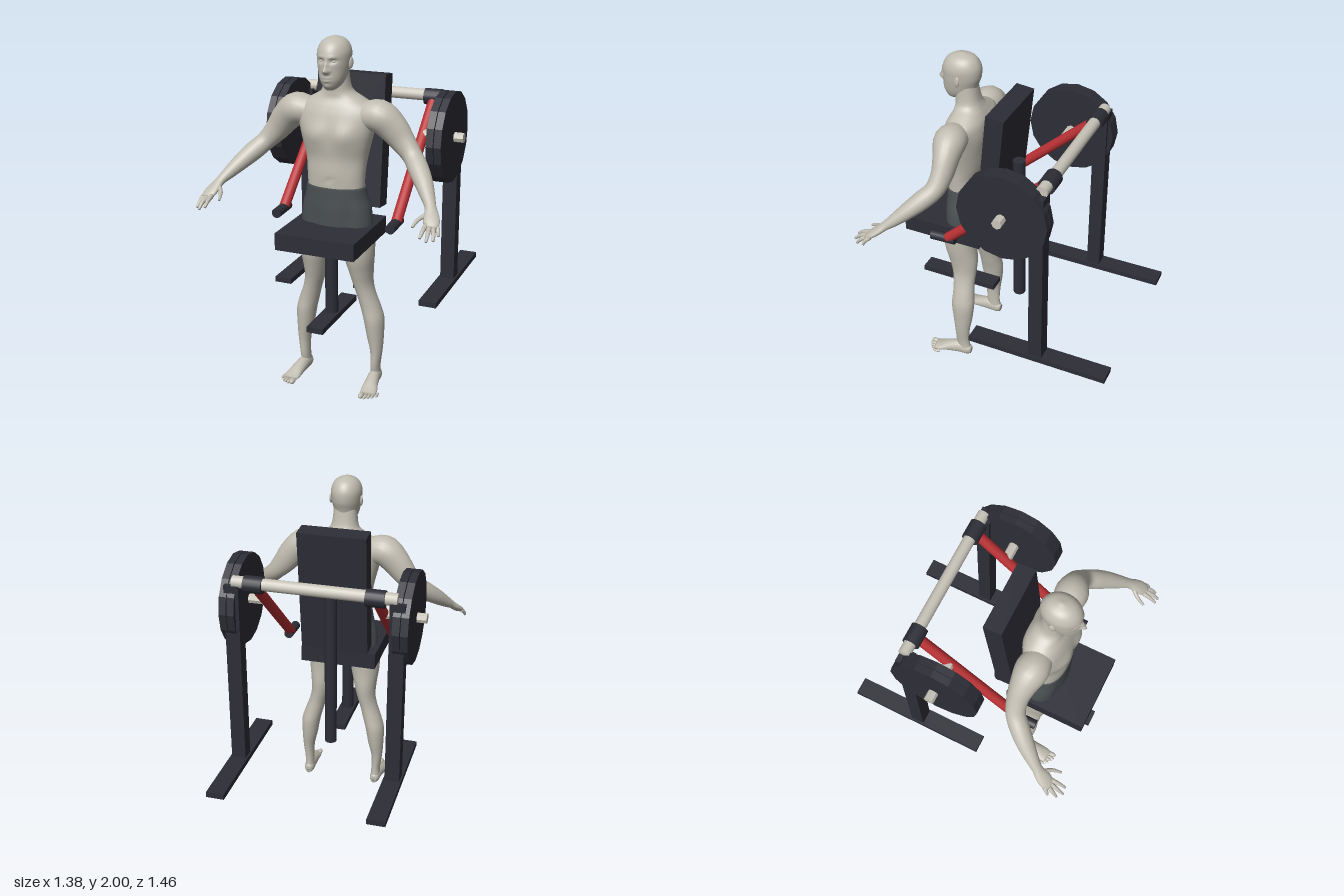
import * as THREE from 'three';

const mat = (name, color) => { const m = new THREE.MeshStandardMaterial({ color }); m.name = name; return m; };

export function createModel() {
  const root = new THREE.Group();
  root.name = 'shoulderPressMachineWithMan';
  const frame = mat('dark frame', 0x2d2d37), red = mat('red arm', 0xb83033);
  const steel = mat('pale steel', 0xc9c5ba), skin = mat('skin', 0xc0bcb0), cloth = mat('shorts grey', 0x4a4f52);

  const add = (parent, name, geo, material) => {
    const m = new THREE.Mesh(geo, material);
    m.name = name;
    parent.add(m);
    return m;
  };
  const group = (name) => { const g = new THREE.Group(); g.name = name; root.add(g); return g; };
  // box given by its minimum and maximum corners
  const box = (parent, name, a, b, material) => {
    const m = add(parent, name, new THREE.BoxGeometry(b[0] - a[0], b[1] - a[1], b[2] - a[2]), material);
    m.position.set((a[0] + b[0]) / 2, (a[1] + b[1]) / 2, (a[2] + b[2]) / 2);
    return m;
  };
  // round rod between two points
  const rod = (parent, name, a, b, r, material, sides = 16, flat = false) => {
    const p = new THREE.Vector3(...a), q = new THREE.Vector3(...b), d = q.clone().sub(p);
    let geo = new THREE.CylinderGeometry(r, r, d.length(), sides);
    if (flat) { geo = geo.toNonIndexed(); geo.computeVertexNormals(); }
    const m = add(parent, name, geo, material);
    m.position.copy(p).add(q).multiplyScalar(0.5);
    m.quaternion.setFromUnitVectors(new THREE.Vector3(0, 1, 0), d.normalize());
    return m;
  };
  const ball = (parent, name, p, s, material) => {
    const m = add(parent, name, new THREE.SphereGeometry(1, 16, 12), material);
    m.position.set(...p);
    m.scale.set(...s);
    return m;
  };

  // smooth interpolation of section rows
  const smooth = (rows, n) => {
    const out = [], last = rows.length - 1;
    for (let i = 0; i < last; i++) {
      const [p, a, b, q] = [rows[Math.max(i - 1, 0)], rows[i], rows[i + 1], rows[Math.min(i + 2, last)]];
      for (let k = 0; k < n; k++) {
        const t = k / n;
        out.push(a.map((v, c) => v + 0.5 * t * (b[c] - p[c]
          + t * (2 * p[c] - 5 * v + 4 * b[c] - q[c] + t * (3 * (v - b[c]) + q[c] - p[c])))));
      }
    }
    out.push(rows[last]);
    return out;
  };
  // closed skin over elliptical sections [x, y, z, width, depth]; level sections run bottom to top
  const loft = (rows, { level = false, seg = 24, steps = 4, power = 1, shape = null } = {}) => {
    const s = smooth(rows, steps);
    s.unshift([...s[0].slice(0, 3), 0, 0]);
    s.push([...s[s.length - 1].slice(0, 3), 0, 0]);
    const pos = [], index = [], up = new THREE.Vector3(0, 1, 0), end = s.length - 1;
    const u = new THREE.Vector3(0, 0, 1), v = new THREE.Vector3(1, 0, 0), t = new THREE.Vector3(), p = new THREE.Vector3();
    const sp = (x) => Math.sign(x) * Math.abs(x) ** power;
    s.forEach(([x, y, z, a, b], i) => {
      if (!level) {
        const f = s[Math.max(i - 2, 0)], g = s[Math.min(i + 2, end)];
        t.set(g[0] - f[0], g[1] - f[1], g[2] - f[2]).normalize();
        u.crossVectors(up, t).normalize();
        v.crossVectors(t, u);
      }
      for (let j = 0; j < seg; j++) {
        const w = j / seg * Math.PI * 2, c = sp(Math.cos(w)), d = sp(Math.sin(w));
        p.set(x, y, z).addScaledVector(u, c * (level ? b : a)).addScaledVector(v, d * (level ? a : b));
        if (shape && i > 0 && i < end) shape(p, c);
        pos.push(p.x, p.y, p.z);
        if (i < end) {
          const k = i * seg + j, l = i * seg + (j + 1) % seg;
          index.push(k, l, l + seg, k, l + seg, k + seg);
        }
      }
    });
    const geo = new THREE.BufferGeometry();
    geo.setAttribute('position', new THREE.Float32BufferAttribute(pos, 3));
    geo.setIndex(index);
    geo.computeVertexNormals();
    return geo;
  };
  const bump = (p, x, y, wx, wy) => Math.exp(-(((Math.abs(p.x) - x) / wx) ** 2) - ((p.y - y) / wy) ** 2);

  // seat and backrest
  const bench = group('bench');
  box(bench, 'seat', [-0.228, 0.88, 0.17], [0.228, 0.975, 0.65], frame);
  box(bench, 'seatFoot', [-0.048, 0.428, 0.17], [0.048, 0.46, 0.655], frame);
  rod(bench, 'seatPost', [0, 0.45, 0.418], [0, 0.9, 0.418], 0.036, frame);
  rod(bench, 'backPost', [0, 0.44, 0.015], [0, 1.4, 0.015], 0.036, frame);
  const back = box(bench, 'backrest', [-0.2, 1.02, 0.053], [0.2, 1.76, 0.16], frame);
  back.rotation.x = -0.108;

  // pivot bar, stands, weights and press arms
  const press = group('pressFrame');
  rod(press, 'pivotBar', [-0.457, 1.567, -0.317], [0.457, 1.567, -0.317], 0.034, steel);
  for (const s of [-1, 1]) {
    const xBox = (name, x0, x1, y0, y1, z0, z1) =>
      box(press, name, [Math.min(s * x0, s * x1), y0, z0], [Math.max(s * x0, s * x1), y1, z1], frame);
    xBox('upright', 0.418, 0.502, 0.45, 1.55, -0.347, -0.267);
    xBox('standFoot', 0.407, 0.512, 0.428, 0.46, -0.733, 0.107);
    rod(press, 'pivotCollar', [s * 0.285, 1.56, -0.315], [s * 0.39, 1.56, -0.315], 0.048, frame);
    rod(press, 'pressArm', [s * 0.338, 1.56, -0.315], [s * 0.338, 1.0, 0.305], 0.03, red);
    rod(press, 'handle', [s * 0.338, 0.998, 0.26], [s * 0.338, 0.992, 0.408], 0.028, frame);
    rod(press, 'weightPeg', [s * 0.345, 1.388, -0.12], [s * 0.58, 1.388, -0.12], 0.029, steel, 8, true);
    for (const x of [0.438, 0.484])
      rod(press, 'weightPlate', [s * x, 1.388, -0.12], [s * (x + 0.041), 1.388, -0.12], 0.26, frame, 16, true);
  }

  // torso and neck, with chest, belly and spine modelling
  const man = group('man');
  add(man, 'torso', loft([
    [0, 1.16, 0.338, 0.16, 0.097], [0, 1.25, 0.338, 0.163, 0.1], [0, 1.34, 0.326, 0.172, 0.11],
    [0, 1.42, 0.325, 0.19, 0.122], [0, 1.5, 0.322, 0.21, 0.125], [0, 1.58, 0.313, 0.225, 0.116],
    [0, 1.63, 0.306, 0.205, 0.104], [0, 1.67, 0.305, 0.14, 0.085], [0, 1.7, 0.311, 0.092, 0.075],
    [0, 1.74, 0.319, 0.074, 0.068], [0, 1.83, 0.33, 0.066, 0.064]], {
    level: true, seg: 48, steps: 6, power: 0.9, shape: (p, c) => {
      if (c > 0) p.z += c * (0.016 * bump(p, 0.09, 1.48, 0.07, 0.06) - 0.008 * bump(p, 0, 1.46, 0.02, 0.12)
        - 0.008 * bump(p, 0, 1.235, 0.012, 0.012) + 0.005 * bump(p, 0.04, 1.3, 0.03, 0.08));
      else p.z -= c * (0.014 * bump(p, 0, 1.42, 0.025, 0.17) - 0.01 * bump(p, 0.11, 1.55, 0.06, 0.08));
    } }), skin);
  add(man, 'shorts', loft([
    [0, 0.91, 0.333, 0.208, 0.112], [0, 1.0, 0.332, 0.205, 0.113], [0, 1.07, 0.331, 0.195, 0.114],
    [0, 1.13, 0.333, 0.178, 0.109], [0, 1.19, 0.338, 0.166, 0.102]], {
    level: true, seg: 40, power: 0.9, shape: (p, c) => {
      if (c < 0) p.z += c * (0.008 * bump(p, 0.09, 1.07, 0.07, 0.06) - 0.012 * bump(p, 0, 1.03, 0.02, 0.08));
      else p.z -= c * 0.012 * bump(p, 0.1, 1.0, 0.03, 0.1);
    } }), cloth);

  // head, with brow, eye sockets, nose, lips and chin pushed out of the front
  add(man, 'head', loft([
    [0, 1.725, 0.405, 0.022, 0.028], [0, 1.745, 0.385, 0.048, 0.06], [0, 1.78, 0.368, 0.067, 0.092],
    [0, 1.83, 0.358, 0.08, 0.103], [0, 1.87, 0.352, 0.086, 0.111], [0, 1.92, 0.349, 0.088, 0.11],
    [0, 1.96, 0.347, 0.074, 0.091], [0, 1.985, 0.345, 0.048, 0.06], [0, 2.0, 0.345, 0.006, 0.008]], {
    level: true, seg: 72, steps: 7, shape: (p, c) => {
      if (c > 0) p.z += c * (0.03 * bump(p, 0, 1.832, 0.013, 0.016) + 0.016 * bump(p, 0, 1.86, 0.009, 0.022)
        + 0.008 * bump(p, 0.014, 1.828, 0.009, 0.01) - 0.014 * bump(p, 0.034, 1.882, 0.019, 0.011)
        + 0.005 * bump(p, 0.032, 1.902, 0.026, 0.008) + 0.007 * bump(p, 0, 1.795, 0.022, 0.006)
        + 0.007 * bump(p, 0, 1.779, 0.02, 0.006) - 0.003 * bump(p, 0, 1.787, 0.026, 0.003)
        + 0.006 * bump(p, 0, 1.748, 0.022, 0.012));
    } }), skin);

  for (const s of [-1, 1]) {
    const limb = (name, rows, opt) => add(man, name, loft(rows.map(([x, ...r]) => [s * x, ...r]), opt), skin);
    ball(man, 'eye', [s * 0.034, 1.881, 0.436], [0.013, 0.008, 0.012], skin);
    const ear = ball(man, 'ear', [s * 0.088, 1.862, 0.342], [0.009, 0.031, 0.018], skin);
    ear.rotation.set(-0.15, s * -0.35, 0);

    // arm and palm
    limb('arm', [[0.13, 1.57, 0.318, 0.07, 0.07], [0.235, 1.585, 0.315, 0.092, 0.088],
      [0.31, 1.525, 0.305, 0.074, 0.082], [0.37, 1.452, 0.302, 0.06, 0.068], [0.43, 1.385, 0.32, 0.054, 0.054],
      [0.48, 1.335, 0.37, 0.055, 0.053], [0.53, 1.283, 0.43, 0.049, 0.046], [0.58, 1.225, 0.5, 0.036, 0.033],
      [0.605, 1.195, 0.54, 0.03, 0.024], [0.62, 1.17, 0.572, 0.038, 0.021], [0.634, 1.142, 0.61, 0.042, 0.019],
      [0.64, 1.122, 0.64, 0.032, 0.013]]);
    // fingers, each from knuckle through joint to tip
    const fingers = [
      ['thumb', [0.598, 1.17, 0.572], [0.565, 1.15, 0.615], [0.55, 1.125, 0.662]],
      ['indexFinger', [0.612, 1.132, 0.632], [0.61, 1.116, 0.68], [0.608, 1.092, 0.716]],
      ['middleFinger', [0.632, 1.126, 0.638], [0.64, 1.107, 0.685], [0.642, 1.078, 0.72]],
      ['ringFinger', [0.65, 1.124, 0.63], [0.664, 1.104, 0.667], [0.671, 1.076, 0.692]],
      ['littleFinger', [0.662, 1.13, 0.61], [0.676, 1.112, 0.632], [0.684, 1.087, 0.645]]];
    for (const [name, a, b, c] of fingers)
      limb(name, [[...a, 0.013, 0.013], [...b, 0.011, 0.011], [...c, 0.007, 0.007]], { seg: 10 });

    // leg
    limb('leg', [[0.22, 0.03, 0.288, 0.03, 0.04], [0.22, 0.1, 0.304, 0.027, 0.043], [0.225, 0.2, 0.303, 0.034, 0.047],
      [0.217, 0.3, 0.3, 0.048, 0.061], [0.208, 0.4, 0.3, 0.057, 0.071], [0.19, 0.47, 0.302, 0.057, 0.067],
      [0.165, 0.55, 0.308, 0.053, 0.067], [0.147, 0.62, 0.312, 0.056, 0.076], [0.138, 0.7, 0.32, 0.068, 0.09],
      [0.132, 0.8, 0.335, 0.086, 0.1], [0.125, 0.93, 0.335, 0.098, 0.104]], { level: true });
    // foot and toes
    limb('foot', [[0.217, 0.035, 0.25, 0.018, 0.025], [0.219, 0.038, 0.275, 0.03, 0.037], [0.222, 0.044, 0.33, 0.034, 0.043],
      [0.23, 0.034, 0.4, 0.04, 0.033], [0.238, 0.023, 0.45, 0.047, 0.021], [0.242, 0.017, 0.485, 0.043, 0.014]]);
    for (let i = 0; i < 5; i++) {
      const r = i ? 0.0105 - i * 0.0006 : 0.015;
      ball(man, 'toe', [s * (0.213 + i * 0.0185 + (i ? 0.004 : 0)), r + 0.001, 0.508 - i * i * 0.0028], [r, r, 0.027], skin);
    }
  }
  return root;
}
